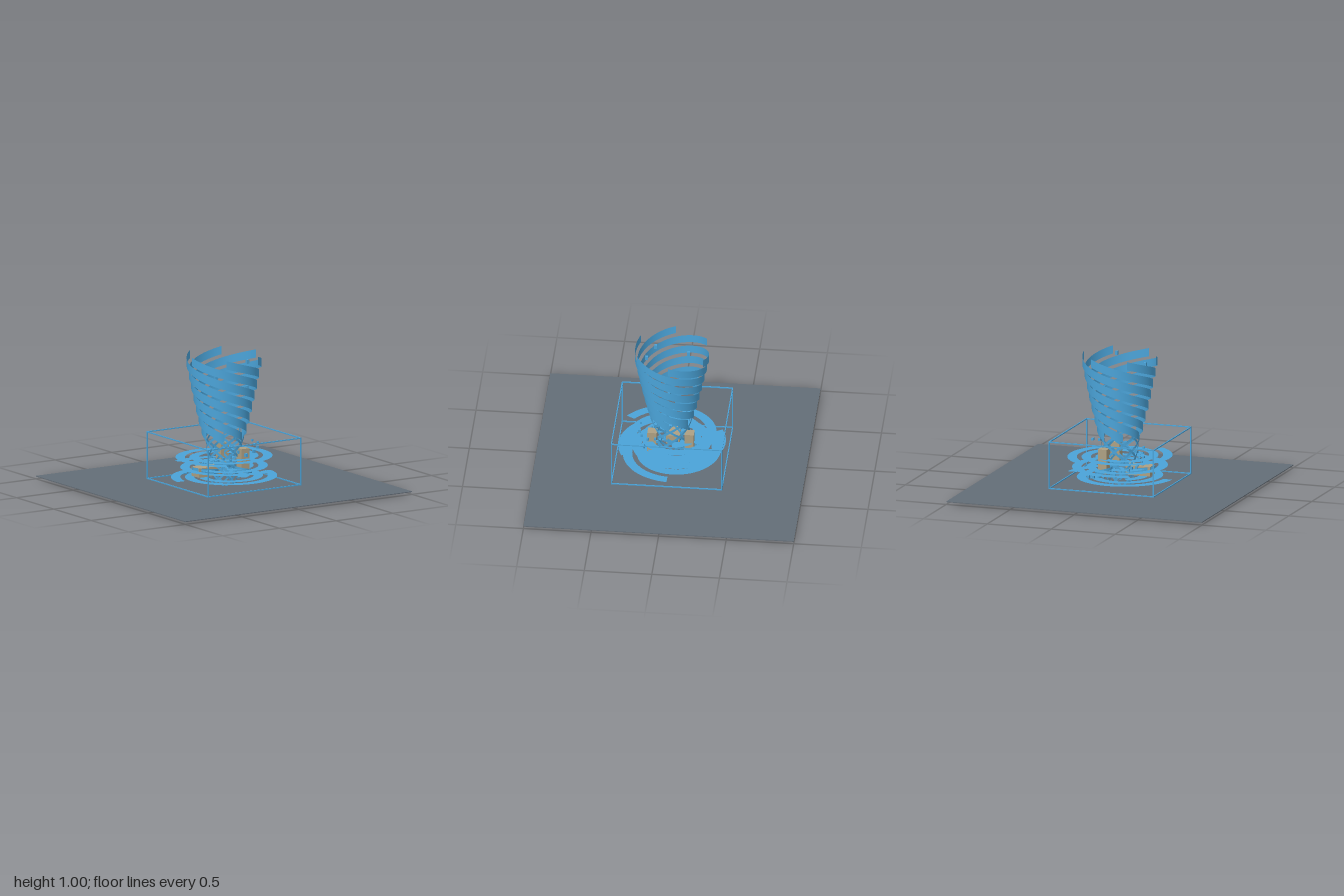
import * as THREE from 'three';

const blue = new THREE.MeshStandardMaterial({ color: 0x4aa3d8, side: THREE.DoubleSide });
blue.name = 'wind blue';
const slate = new THREE.MeshStandardMaterial({ color: 0x636d77 });
slate.name = 'ground slate';
const tan = new THREE.MeshStandardMaterial({ color: 0xada083 });
tan.name = 'crate tan';

const polar = (r, a, y) => [r * Math.cos(a), y, r * Math.sin(a)];

// Open band swept between two edge curves; edges(t) returns [edgeA, edgeB]
function ribbon(name, edges, steps) {
  const pos = [], idx = [];
  for (let i = 0; i <= steps; i++) {
    const [a, b] = edges(i / steps);
    pos.push(...a, ...b);
    if (i < steps) {
      const k = i * 2;
      idx.push(k, k + 1, k + 2, k + 1, k + 3, k + 2);
    }
  }
  const g = new THREE.BufferGeometry();
  g.setAttribute('position', new THREE.Float32BufferAttribute(pos, 3));
  g.setIndex(idx);
  g.computeVertexNormals();
  const m = new THREE.Mesh(g, blue);
  m.name = name;
  return m;
}

function box(name, mat, size, at) {
  const m = new THREE.Mesh(new THREE.BoxGeometry(...size), mat);
  m.position.set(...at);
  m.name = name;
  return m;
}

export function createModel() {
  const model = new THREE.Group();
  const group = (name) => {
    const g = new THREE.Group();
    g.name = name;
    model.add(g);
    return g;
  };

  model.add(box('ground', slate, [2, 0.006, 2], [0, 0.02, 0]));

  // Upper funnel: six helical bands, widening as they rise
  const funnel = group('upperFunnel');
  for (let k = 0; k < 6; k++) {
    const end = k * Math.PI / 3;
    funnel.add(ribbon('funnelBand', (t) => {
      const a = end - (1 - t) * 1.16 * Math.PI * 2;
      const r = 0.15 + 0.132 * Math.pow(t, 0.85), y = 0.42 + 0.58 * t;
      return [polar(r, a, y), polar(r, a, y - 0.062)];
    }, 72));
  }

  // Lower core: thin strips wound both ways into a lattice
  const core = group('lowerCore');
  for (let k = 0; k < 6; k++) for (const dir of [-1, 1]) {
    core.add(ribbon('coreStrip', (t) => {
      const a = k * Math.PI / 3 + dir * t * Math.PI * 1.2;
      const r = 0.087 + 0.063 * t, y = 0.39 * t;
      return [polar(r, a, y), polar(r, a, y + 0.022)];
    }, 36));
  }

  // Flat spiral arms on three levels
  const arms = group('spiralArms');
  for (let k = 0; k < 6; k++) {
    const y = 0.08 + 0.075 * (k % 3);
    arms.add(ribbon('spiralArm', (t) => {
      const a = k * Math.PI / 3 + t * Math.PI * 2 * 1.15;
      const r = 0.41 - 0.24 * t;
      return [polar(r, a, y), polar(r - 0.07, a, y)];
    }, 72));
  }

  // Three crates, each with a band circling it
  const crates = group('crates');
  crates.add(box('lyingCrate', tan, [0.19, 0.07, 0.1], [-0.157, 0.137, 0]));
  const rings = [[-0.157, 0, 0.118, 0.065]];
  for (const s of [-1, 1]) {
    crates.add(box('standingCrate', tan, [0.07, 0.18, 0.07], [0.077, 0.215, s * 0.137]));
    rings.push([0.077, s * 0.137, 0.065, 0.065]);
  }
  for (const [x, z, rx, rz] of rings) {
    crates.add(ribbon('crateBand', (t) => {
      const a = t * Math.PI * 2;
      const y = 0.125 - 0.015 * Math.cos(a);
      const p = [x + rx * Math.cos(a), y, z + rz * Math.sin(a)];
      return [p, [p[0], y + 0.035, p[2]]];
    }, 32));
  }

  // Wire box around the base
  const frame = group('boxFrame');
  const h = 0.408, w = 0.008;
  for (const s of [-1, 1]) {
    for (const y of [0.038, 0.388]) {
      frame.add(box('frameRail', blue, [2 * h + w, w, w], [0, y, s * h]));
      frame.add(box('frameRail', blue, [w, w, 2 * h + w], [s * h, y, 0]));
    }
    for (const q of [-1, 1]) frame.add(box('framePost', blue, [w, 0.35, w], [s * h, 0.213, q * h]));
  }

  // Small debris cubes circling the core and a few in the funnel
  const debris = group('debris');
  for (let i = 0; i < 34; i++) {
    const a = i * 2.4, r = 0.13 + 0.13 * ((i * 0.37) % 1);
    const s = 0.012 + 0.009 * ((i * 0.53) % 1);
    debris.add(box('debrisCube', blue, [s, s * 1.2, s], polar(r, a, 0.055 + 0.28 * ((i * 0.618) % 1))));
  }
  for (let i = 0; i < 5; i++) {
    debris.add(box('debrisCube', blue, [0.02, 0.03, 0.02], polar(0.2, 1.1 + i * 1.3, 0.96 - i * 0.06)));
  }
  return model;
}
